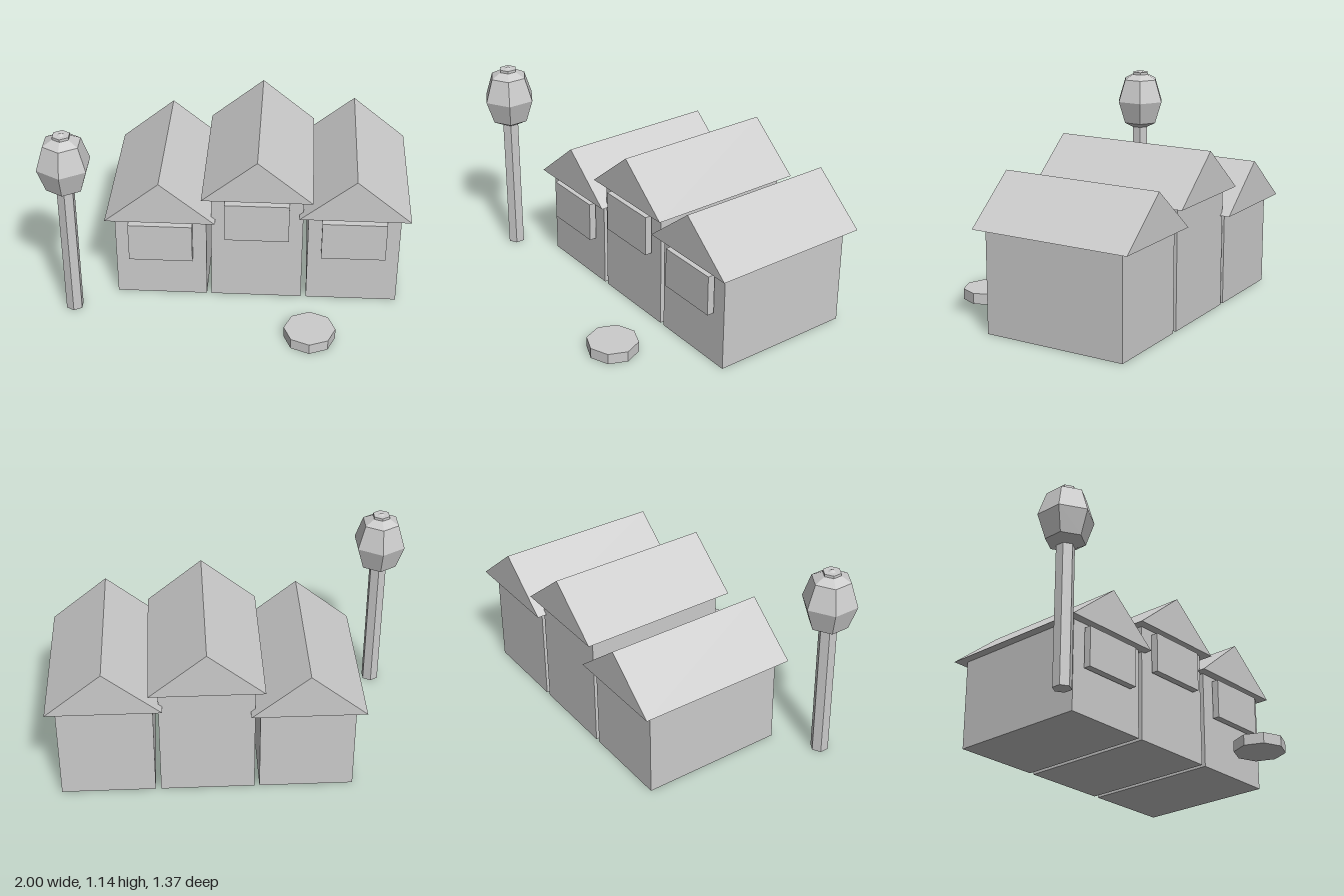
import * as THREE from 'three';

const material = new THREE.MeshStandardMaterial({ color: 0xcccccc, flatShading: true });

function add(parent, name, geometry, x, y, z) {
  const mesh = new THREE.Mesh(geometry, material);
  mesh.name = name;
  mesh.position.set(x, y, z);
  parent.add(mesh);
  return mesh;
}

// Stall: box walls, overhanging gable roof, hanging sign board on the front
function createHouse(name, x, wallHeight) {
  const house = new THREE.Group();
  house.name = name;
  house.position.x = x;

  add(house, 'walls', new THREE.BoxGeometry(0.51, wallHeight, 0.815), 0, wallHeight / 2, -0.223);

  const gable = new THREE.Shape([
    new THREE.Vector2(-0.306, 0),
    new THREE.Vector2(0.306, 0),
    new THREE.Vector2(0, 0.252),
  ]);
  const roof = new THREE.ExtrudeGeometry(gable, { depth: 0.917, bevelEnabled: false });
  add(house, 'roof', roof, 0, wallHeight, -0.684);

  add(house, 'signBoard', new THREE.BoxGeometry(0.357, 0.23, 0.041), 0, wallHeight - 0.142, 0.2115);
  return house;
}

export function createModel() {
  const model = new THREE.Group();
  model.name = 'market';

  model.add(createHouse('rightHouse', -0.384, 0.515));
  model.add(createHouse('middleHouse', 0.153, 0.67));
  model.add(createHouse('leftHouse', 0.692, 0.567));

  // Tree: hexagonal trunk running up through a stretched faceted crown
  const tree = new THREE.Group();
  tree.name = 'tree';
  tree.position.set(-0.868, 0, 0.337);
  add(tree, 'trunk', new THREE.CylinderGeometry(0.05, 0.05, 1.127, 6), 0, 0.5635, 0);
  const crown = new THREE.SphereGeometry(0.152, 6, 4);
  crown.rotateY(Math.PI / 2);
  crown.scale(1, 1.25, 1);
  add(tree, 'crown', crown, 0, 0.948, 0);
  model.add(tree);

  // Low octagonal slab in front
  add(model, 'roundSlab', new THREE.CylinderGeometry(0.142, 0.142, 0.061, 8), 0.46, 0.0305, 0.542);

  return model;
}
